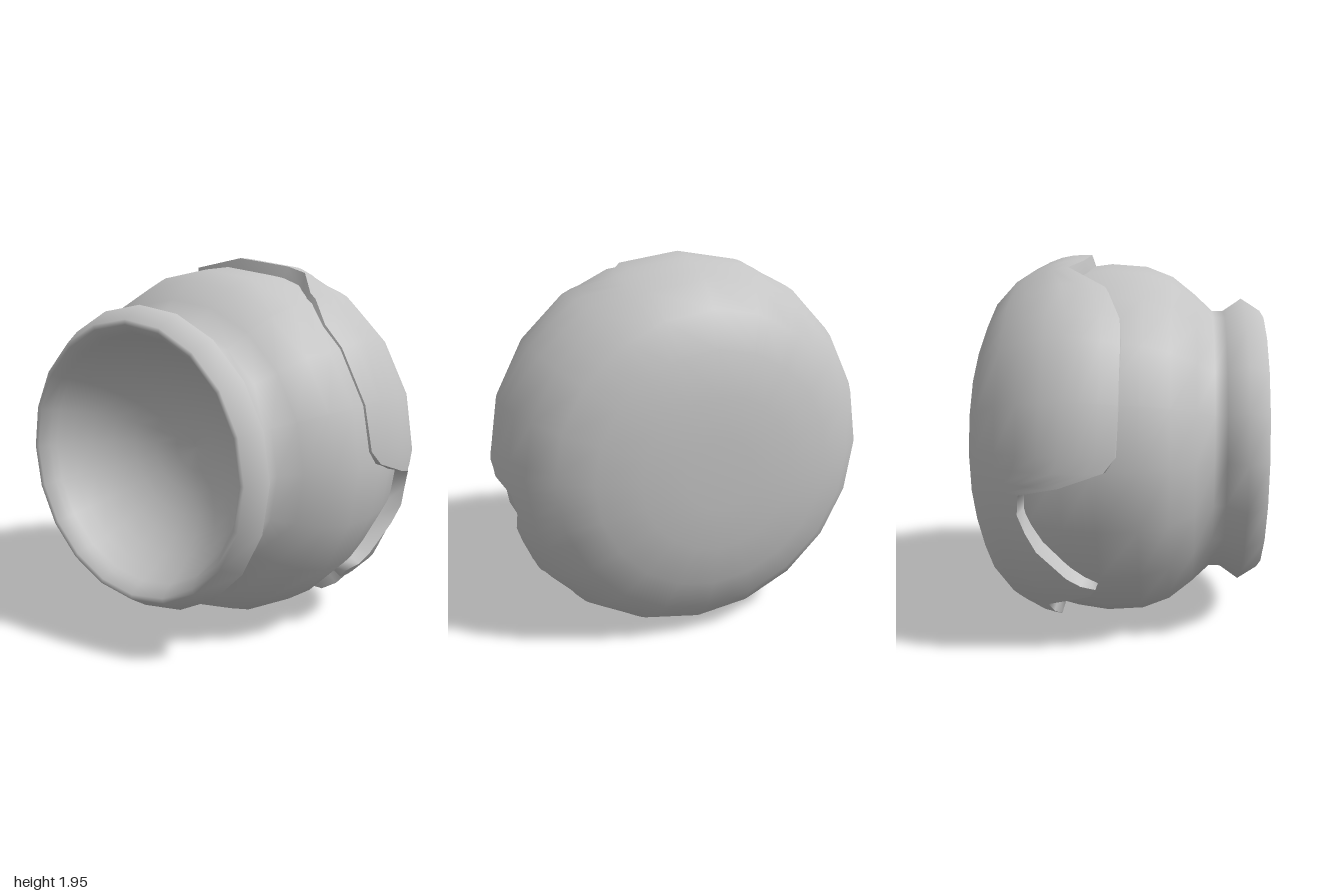
import * as THREE from 'three';

const CENTRE_Y = 0.955;
const SIDES = 20;

// Outer shell profile [radius, z], front to back pole
const profile = [
  [0.945, 0.08], [0.985, -0.05], [1.0, -0.18], [0.98, -0.33], [0.89, -0.51],
  [0.77, -0.625], [0.6, -0.7], [0.39, -0.743], [0.18, -0.756], [0, -0.757],
];
const shellCurve = new THREE.SplineCurve(profile.map(([r, z]) => new THREE.Vector2(r, z)));
const SHARED = 4; // profile knot behind which all columns share the same rings

// Broken front edge of the shell: [degrees from the top, z], mirrored on x
const edge = [
  [0, -0.15], [18, -0.16], [22, -0.23], [33, -0.03], [45, 0.05], [54, 0.06],
  [72, 0.06], [86, 0.05], [90, 0.0], [94, -0.2], [97, -0.39], [103, -0.4],
  [114, -0.32], [123, -0.19], [129, -0.06], [133, -0.09], [140, -0.31],
  [149, -0.26], [159, -0.37], [170, -0.41], [180, -0.42],
];

// Point on a regular polygon ring with the body's number of sides
function ringPoint(deg, r, z) {
  const step = 360 / SIDES, half = step / 2;
  const off = (deg % step) - half;
  const rr = r * Math.cos(THREE.MathUtils.degToRad(half)) / Math.cos(THREE.MathUtils.degToRad(off));
  const a = THREE.MathUtils.degToRad(deg);
  return [Math.sin(a) * rr, Math.cos(a) * rr, z];
}

// Curve parameter at which the shell profile reaches a given z
function paramAtZ(z) {
  let lo = 0, hi = 1;
  for (let i = 0; i < 30; i++) {
    const mid = (lo + hi) / 2;
    if (shellCurve.getPoint(mid).y > z) lo = mid; else hi = mid;
  }
  return lo;
}

// Closed surface around the axis: columns of equal-length point rows
function loft(columns) {
  const n = columns.length, m = columns[0].length, index = [];
  for (let i = 0; i < n; i++) {
    const j = (i + 1) % n;
    for (let k = 0; k < m - 1; k++) {
      const a = i * m + k, b = j * m + k;
      index.push(a, b, a + 1, b, b + 1, a + 1);
    }
  }
  const g = new THREE.BufferGeometry();
  g.setAttribute('position', new THREE.Float32BufferAttribute(columns.flat(2), 3));
  g.setIndex(index);
  g.computeVertexNormals();
  return g;
}

export function createModel() {
  const group = new THREE.Group();
  const grey = new THREE.MeshStandardMaterial({ color: 0xc4c4c4, side: THREE.DoubleSide });
  grey.name = 'plain grey';

  const add = (name, geometry) => {
    const mesh = new THREE.Mesh(geometry, grey);
    mesh.name = name;
    mesh.position.y = CENTRE_Y;
    group.add(mesh);
  };

  // Rounded pot with a flared neck, lying with its mouth to the front
  const pot = [
    [0, -0.64], [0.4, -0.62], [0.7, -0.53], [0.89, -0.37], [0.93, -0.2], [0.95, -0.04],
    [0.935, 0.15], [0.88, 0.29], [0.785, 0.41], [0.7, 0.5], [0.7, 0.56],
    [0.765, 0.655], [0.7, 0.757],
  ];
  // Bowl inside the mouth: a soft lip, then a spherical hollow
  const bowl = [[0.675, 0.755]];
  const bowlRadius = 0.675, bowlCentre = 0.925 - 0.005;
  for (let i = 0; i <= 8; i++) {
    const r = 0.64 * Math.cos((i / 8) * Math.PI / 2);
    bowl.push([r, bowlCentre - Math.sqrt(bowlRadius ** 2 - r ** 2)]);
  }
  const points = [...pot, ...bowl].map(([r, z]) => new THREE.Vector2(r, z));
  add('potBody', new THREE.LatheGeometry(points, SIDES).rotateX(Math.PI / 2));

  // Full edge outline, with polygon corners filled in and the right half mirrored
  const half = [...edge];
  for (let d = 18; d < 180; d += 18) {
    if (half.some(([a]) => a === d)) continue;
    const i = edge.findIndex(([a]) => a > d);
    const [a0, z0] = edge[i - 1], [a1, z1] = edge[i];
    half.push([d, z0 + (z1 - z0) * (d - a0) / (a1 - a0)]);
  }
  half.sort((p, q) => p[0] - q[0]);
  const mirrored = half.slice(1, -1).reverse().map(([a, z]) => [360 - a, z]);
  const outline = [...half, ...mirrored];

  // Outer shell: rows run from the broken edge to the shared rings, then to the pole
  const knots = profile.length - 1, frontRows = 6;
  const normals = [];
  const shell = loft(outline.map(([deg, z]) => {
    const start = paramAtZ(z), params = [];
    for (let k = 0; k < frontRows; k++) {
      params.push(THREE.MathUtils.lerp(start, SHARED / knots, k / frontRows));
    }
    for (let k = SHARED; k <= knots; k++) params.push(k / knots);
    const a = THREE.MathUtils.degToRad(deg);
    return params.map((t) => {
      const p = shellCurve.getPoint(t), d = shellCurve.getTangent(t);
      const nr = t === 1 ? 0 : -d.y, nz = t === 1 ? -1 : d.x;
      normals.push(Math.sin(a) * nr, Math.cos(a) * nr, nz);
      return ringPoint(deg, p.x, p.y);
    });
  }));
  // Smooth round normals taken from the profile
  shell.setAttribute('normal', new THREE.Float32BufferAttribute(normals, 3));
  add('outerShell', shell);

  // Thickness of the shell along its broken edge
  add('shellEdge', loft(outline.map(([deg, z]) => {
    const r = shellCurve.getPoint(paramAtZ(z)).x;
    return [ringPoint(deg, r * 0.92, z + 0.02), ringPoint(deg, r, z)];
  })));

  return group;
}
